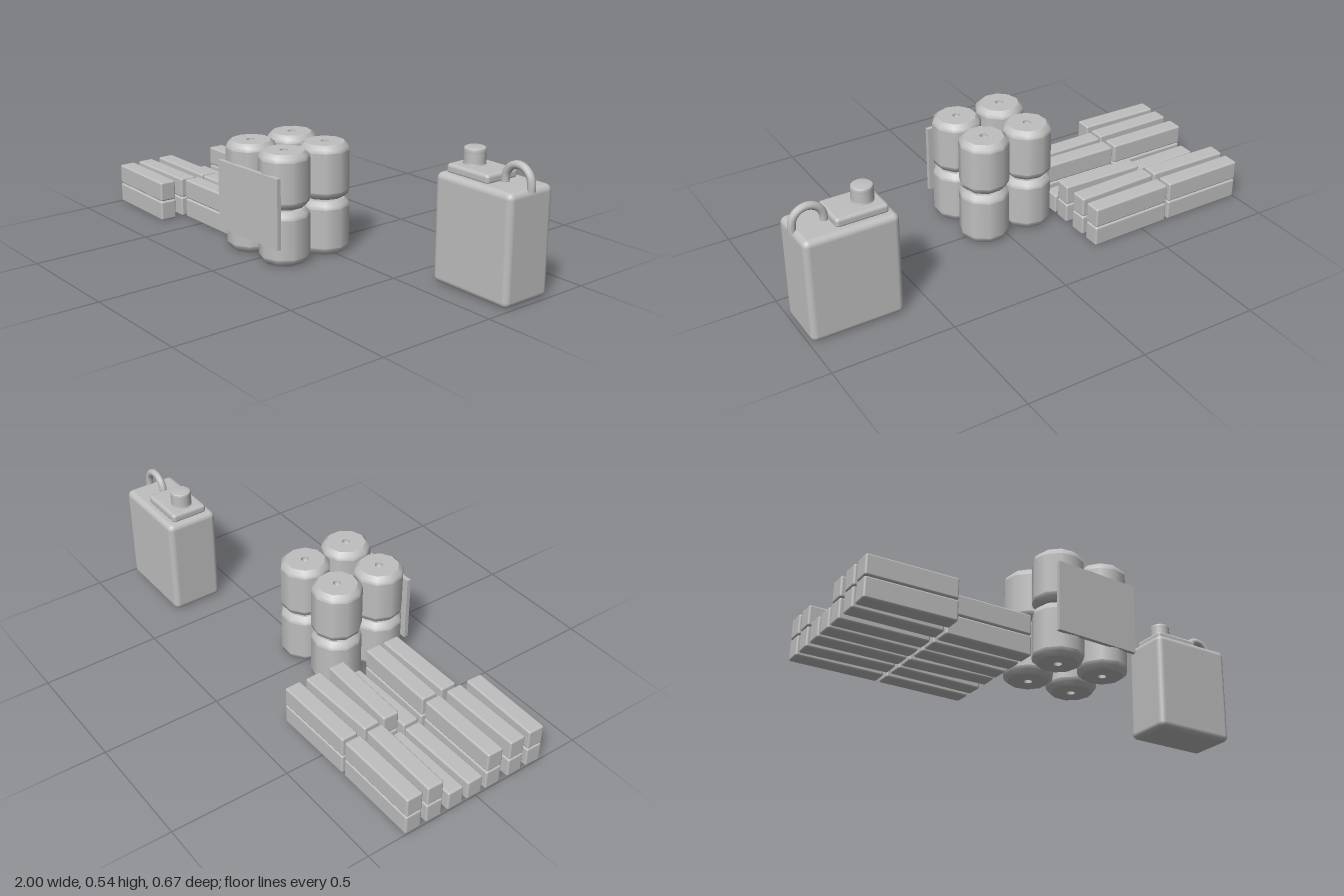
import * as THREE from 'three';
import { RoundedBoxGeometry } from 'three/addons/geometries/RoundedBoxGeometry.js';

export function createModel() {
  const model = new THREE.Group();
  const grey = new THREE.MeshStandardMaterial({ color: 0xbfbfbf });
  grey.name = 'plainGrey';

  function add(parent, name, geometry, x, y, z, turn = 0) {
    const mesh = new THREE.Mesh(geometry, grey);
    mesh.name = name;
    mesh.position.set(x, y, z);
    mesh.rotation.y = turn;
    parent.add(mesh);
    return mesh;
  }
  function group(name) {
    const g = new THREE.Group();
    g.name = name;
    model.add(g);
    return g;
  }
  const lathe = (points, sides) =>
    new THREE.LatheGeometry(points.map(([r, y]) => new THREE.Vector2(r, y)), sides);

  // Bricks: two columns of rows, [z, turn, has a second brick on top]
  const bricks = group('bricks');
  const brick = new RoundedBoxGeometry(0.364, 0.085, 0.072, 2, 0.008);
  const columns = [
    { x: -0.817, rows: [[-0.297, 0, 1], [-0.198, -0.02, 1], [-0.1, 0, 0], [-0.008, 0.005, 0],
      [0.085, -0.01, 1], [0.193, 0, 1], [0.292, -0.025, 1]] },
    { x: -0.44, rows: [[-0.3, 0.015, 1], [-0.2, 0.03, 1], [-0.097, -0.03, 1], [-0.004, 0.015, 0],
      [0.09, -0.02, 1], [0.182, 0, 1]] },
  ];
  for (const { x, rows } of columns) {
    for (const [z, turn, stacked] of rows) {
      add(bricks, 'lowerBrick', brick, x, 0.0425, z, turn);
      if (stacked) add(bricks, 'upperBrick', brick, x, 0.1295, z, turn);
    }
  }

  // Rolls: two by two, two high, with a small hollow core
  const rolls = group('rolls');
  const roll = lathe([[0.017, 0.025], [0.017, 0], [0.017, 0], [0.082, 0], [0.082, 0], [0.099, 0.015],
    [0.103, 0.03], [0.103, 0.03], [0.103, 0.194], [0.103, 0.194], [0.099, 0.209], [0.082, 0.224],
    [0.082, 0.224], [0.017, 0.224], [0.017, 0.224], [0.017, 0.199], [0, 0.199]], 10);
  const core = new THREE.CircleGeometry(0.017, 10).rotateX(Math.PI / 2);
  const spots = [[-0.136, 0, 0.1], [0.072, -0.006, 0.3], [-0.134, 0.21, 0.2], [0.077, 0.203, 0]];
  for (const [x, z, turn] of spots) {
    for (const y of [0, 0.232]) {
      add(rolls, 'roll', roll, x, y, z, turn);
      add(rolls, 'rollCore', core, x, y + 0.025, z, turn);
    }
  }

  // Board leaning in front of the rolls
  add(model, 'board', new THREE.BoxGeometry(0.37, 0.29, 0.018), -0.018, 0.23, 0.306, 0.05);

  // Canister
  const canister = group('canister');
  add(canister, 'canisterBody', new RoundedBoxGeometry(0.38, 0.437, 0.226, 3, 0.025), 0.8, 0.2185, -0.208);
  add(canister, 'capPlate', new RoundedBoxGeometry(0.212, 0.04, 0.16, 2, 0.014), 0.742, 0.45, -0.206);

  // Ridged screw cap
  const ridges = [[0.043, 0]];
  for (let i = 0; i < 4; i++) ridges.push([0.044, 0.004 + i * 0.011], [0.04, 0.0095 + i * 0.011]);
  add(canister, 'screwCap', lathe([...ridges, [0.044, 0.052], [0.041, 0.063], [0.041, 0.063],
    [0.036, 0.067], [0, 0.068]], 24), 0.705, 0.468, -0.206);

  // Arched carrying handle
  const arch = new THREE.CurvePath();
  const handlePoints = [[-0.062, 0.425]];
  for (let i = 0; i <= 8; i++) {
    const a = Math.PI * (1 - i / 8);
    handlePoints.push([Math.cos(a) * 0.062, 0.45 + Math.sin(a) * 0.062]);
  }
  handlePoints.push([0.062, 0.425]);
  const path = new THREE.CatmullRomCurve3(handlePoints.map(([x, y]) => new THREE.Vector3(x, y, 0)));
  add(canister, 'handle', new THREE.TubeGeometry(path, 24, 0.016, 10), 0.922, 0, -0.206);
  const end = new THREE.CircleGeometry(0.016, 10).rotateX(Math.PI / 2);
  for (const side of [-1, 1]) add(canister, 'handleEnd', end, 0.922 + side * 0.062, 0.425, -0.206);

  return model;
}
